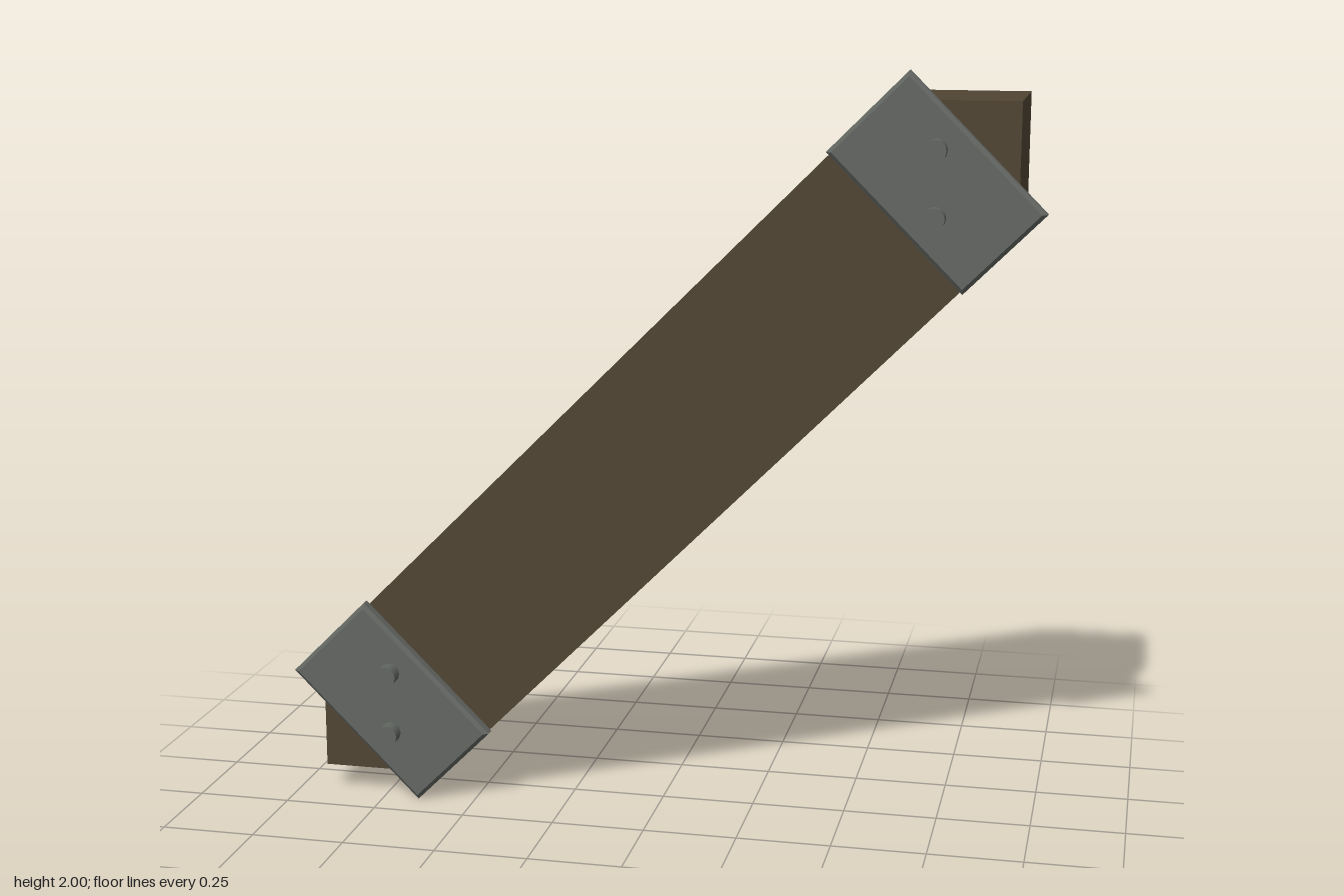
import * as THREE from 'three';

export function createModel() {
  const model = new THREE.Group();
  const wood = new THREE.MeshStandardMaterial({ name: 'dark wood', color: 0x504534 });
  const metal = new THREE.MeshStandardMaterial({ name: 'grey metal', color: 0x626661 });

  const add = (name, geometry, material, x, y, z, parent = model) => {
    const mesh = new THREE.Mesh(geometry, material);
    mesh.name = name;
    mesh.position.set(x, y, z);
    parent.add(mesh);
    return mesh;
  };

  // Diagonal brace, its ends cut square to the wall and ceiling
  const outline = [[-0.925, 0.075], [-0.59, 0.075], [0.925, 1.595], [0.925, 1.93], [0.59, 1.93], [-0.925, 0.41]];
  const beamShape = new THREE.Shape(outline.map(([x, y]) => new THREE.Vector2(x, y)));
  add('beam', new THREE.ExtrudeGeometry(beamShape, { depth: 0.34, bevelEnabled: false }), wood, 0, 0, -0.208);

  // Chamfered plate, long side across the beam
  const bevel = 0.01, w = 0.49 / 2 - bevel, h = 0.288 / 2 - bevel;
  const plateShape = new THREE.Shape([[-w, -h], [w, -h], [w, h], [-w, h]].map(([x, y]) => new THREE.Vector2(x, y)));
  const plateGeometry = new THREE.ExtrudeGeometry(plateShape, {
    depth: 0.045 - 2 * bevel, bevelThickness: bevel, bevelSize: bevel, bevelSegments: 1,
  });
  const boltGeometry = new THREE.CylinderGeometry(0.028, 0.028, 0.07, 12).rotateX(Math.PI / 2);

  // One bracket near each end, with two bolts in a vertical line
  for (const [side, x, y] of [['upper', 0.722, 1.728], ['lower', -0.724, 0.281]]) {
    const bracket = new THREE.Group();
    bracket.name = side + 'Bracket';
    bracket.position.set(x, y, 0);
    model.add(bracket);
    add('plate', plateGeometry, metal, 0, 0, 0.125 + bevel, bracket).rotation.z = -Math.PI / 4;
    for (const dy of [-0.084, 0.084]) add('bolt', boltGeometry, metal, 0, dy, 0.173, bracket);
  }
  return model;
}
